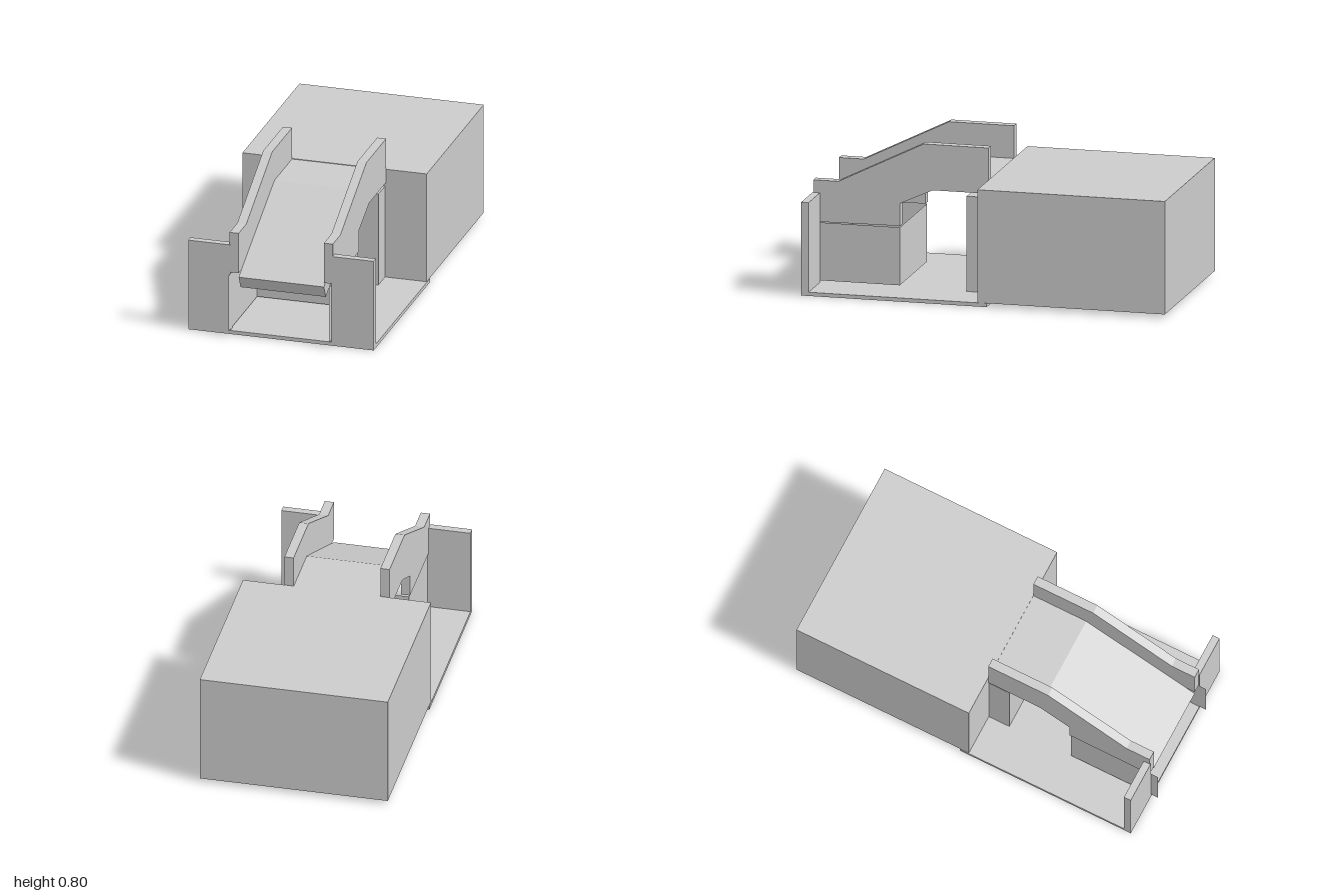
import * as THREE from 'three';

export function createModel() {
  const model = new THREE.Group();
  const solid = new THREE.MeshStandardMaterial({ color: 0xcccccc, flatShading: true });
  const sheet = new THREE.MeshStandardMaterial({ color: 0xcccccc, flatShading: true, side: THREE.DoubleSide });

  function add(name, geometry, material = solid) {
    const mesh = new THREE.Mesh(geometry, material);
    mesh.name = name;
    model.add(mesh);
    return mesh;
  }

  // Box given by its lower and upper limits on each axis
  function box(name, x0, x1, y0, y1, z0, z1) {
    const g = new THREE.BoxGeometry(x1 - x0, y1 - y0, z1 - z0);
    g.translate((x0 + x1) / 2, (y0 + y1) / 2, (z0 + z1) / 2);
    return add(name, g);
  }

  // Side profile of [z, y] points, extruded across x
  function profile(name, points, x0, x1) {
    const shape = new THREE.Shape(points.map(([z, y]) => new THREE.Vector2(-z, y)));
    const g = new THREE.ExtrudeGeometry(shape, { depth: x1 - x0, bevelEnabled: false });
    g.rotateY(Math.PI / 2);
    g.translate(x0, 0, 0);
    return add(name, g);
  }

  // Main body and floor
  box('rearBlock', -0.502, 0.502, 0.02, 0.625, -1, 0.01);
  box('floorPlate', -0.505, 0.505, 0, 0.02, -0.04, 0.96);
  box('supportWall', -0.275, 0.275, 0.02, 0.53, 0.01, 0.13);

  // Flat landing that turns into the sloping ramp
  profile('ramp', [
    [0.01, 0.622], [0.32, 0.622], [0.955, 0.322],
    [0.92, 0.253], [0.305, 0.552], [0.01, 0.552],
  ], -0.232, 0.232);

  // Parapets and front walls, mirrored left and right
  const parapet = [
    [0.955, 0.345], [0.955, 0.568], [0.82, 0.568], [0.36, 0.797], [0.01, 0.797],
    [0.01, 0.552], [0.31, 0.552], [0.487, 0.47], [0.487, 0.35],
  ];
  for (const [side, s] of [['left', 1], ['right', -1]]) {
    const span = (a, b) => (s > 0 ? [a, b] : [-b, -a]);
    profile(side + 'Parapet', parapet, ...span(0.232, 0.281));
    box(side + 'FrontWall', ...span(0.276, 0.505), 0.02, 0.5, 0.92, 0.96);

    // Thin lower side panel
    const panel = new THREE.PlaneGeometry(0.51, 0.31);
    panel.rotateY(s * Math.PI / 2);
    panel.translate(s * 0.274, 0.185, 0.745);
    add(side + 'LowerPanel', panel, sheet);
  }

  // Thin panel closing the back of the lower enclosure
  const back = new THREE.PlaneGeometry(0.548, 0.31);
  back.translate(0, 0.185, 0.49);
  add('lowerBackPanel', back, sheet);

  return model;
}
